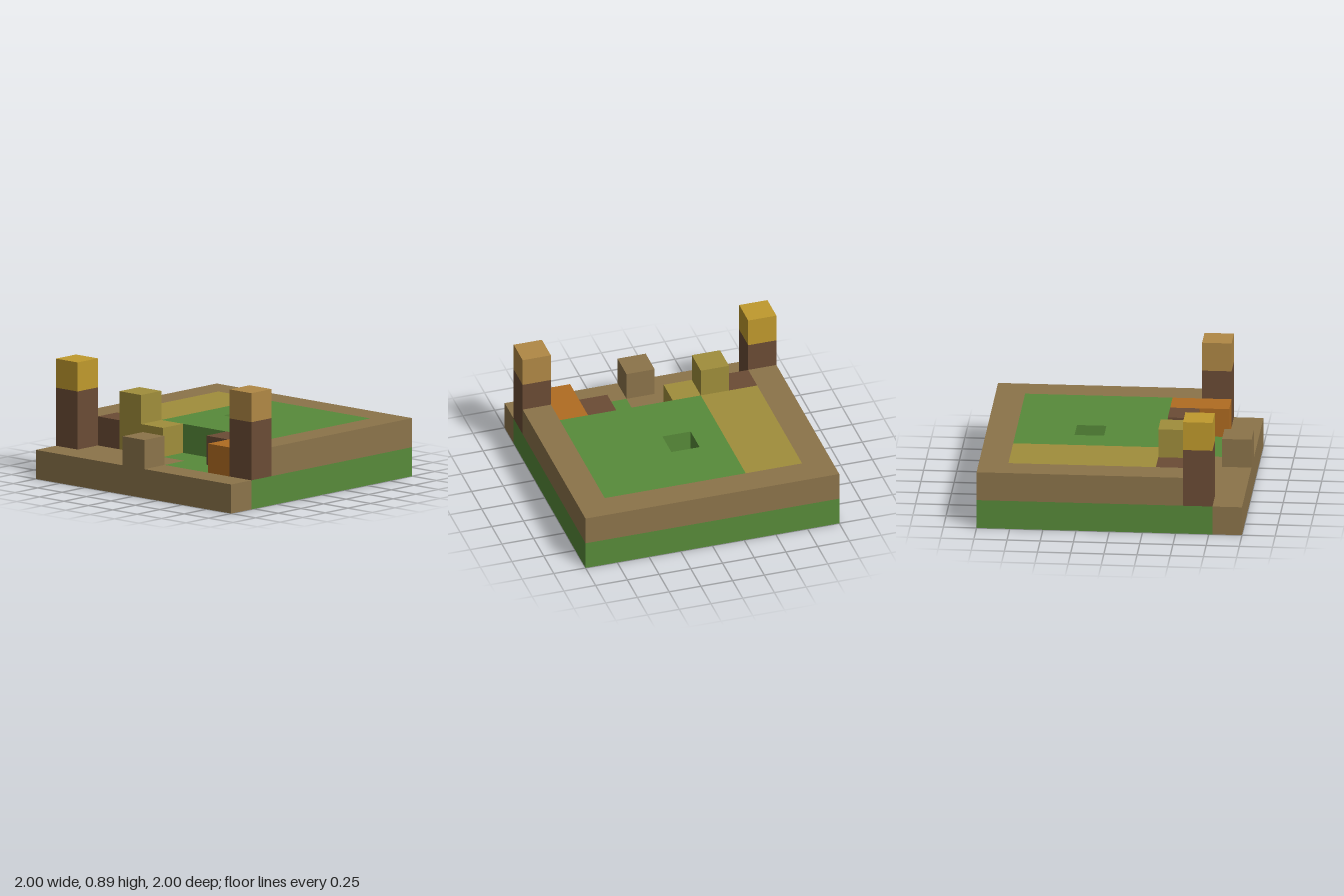
import * as THREE from 'three';

// One block is a ninth of the two-unit footprint.
const B = 2 / 9;

function material(name, color) {
  const m = new THREE.MeshStandardMaterial({ color });
  m.name = name;
  return m;
}

export function createModel() {
  const group = new THREE.Group();
  group.name = 'blockGarden';

  const earth = material('earth brown', 0x8c744a);
  const grass = material('grass green', 0x588b3a);
  const wood = material('dark wood', 0x6b4c35);
  const straw = material('straw olive', 0xa08e3b);
  const gold = material('gold', 0xc09a2d);
  const tan = material('tan', 0xb08845);
  const orange = material('orange', 0xb06c21);
  const water = material('water blue', 0x3457b5);

  // Prism over a floor outline given in block corners [column, row], rows running to the front.
  const vectors = (points) => points.map(([i, k]) => new THREE.Vector2(i * B - 1, k * B - 1));
  function slab(name, mat, layer, outline, hole, layers = 1) {
    const shape = new THREE.Shape(vectors(outline));
    if (hole) shape.holes.push(new THREE.Path(vectors(hole)));
    const geo = new THREE.ExtrudeGeometry(shape, { depth: layers * B, bevelEnabled: false });
    geo.rotateX(Math.PI / 2);
    geo.translate(0, (layer + layers) * B, 0);
    const mesh = new THREE.Mesh(geo, mat);
    mesh.name = name;
    group.add(mesh);
  }

  const rect = (i0, k0, i1, k1) => [[i0, k0], [i1, k0], [i1, k1], [i0, k1]];

  // Box filling w columns, h layers and d rows from a starting block.
  function block(name, mat, i, layer, k, w = 1, h = 1, d = 1) {
    const mesh = new THREE.Mesh(new THREE.BoxGeometry(w * B, h * B, d * B), mat);
    mesh.name = name;
    mesh.position.set((i + w / 2) * B - 1, (layer + h / 2) * B, (k + d / 2) * B - 1);
    group.add(mesh);
  }

  const pond = rect(4, 3, 5, 4);

  // Bottom layer
  slab('grassBase', grass, 0, [
    [0, 0], [9, 0], [9, 8], [5, 8], [5, 7], [4, 7],
    [4, 6], [8, 6], [8, 1], [1, 1], [1, 8], [0, 8],
  ]);
  slab('frontPath', earth, 0, [
    [0, 8], [1, 8], [1, 6], [4, 6], [4, 7],
    [5, 7], [5, 8], [9, 8], [9, 9], [0, 9],
  ]);
  slab('woodFloor', wood, 0, rect(1, 1, 8, 6), pond);
  block('pondWater', water, 4, 0, 3);

  // Raised terrace
  slab('terraceRim', earth, 1, [[0, 0], [9, 0], [9, 7], [8, 7], [8, 1], [1, 1], [1, 7], [0, 7]]);
  slab('lawn', grass, 1, rect(3, 1, 8, 6), pond);
  block('strawField', straw, 1, 1, 1, 2, 1, 5);

  // Blocks along the terrace front
  block('rightWoodBlock', wood, 1, 1, 6);
  block('strawStack', straw, 2, 1, 6, 1, 2, 1);
  block('strawStep', straw, 3, 1, 6);
  block('leftWoodBlock', wood, 6, 1, 6);
  block('orangeBench', orange, 7, 1, 6, 1, 1, 2);
  block('frontStone', earth, 4, 1, 8);

  // Corner posts with caps
  for (const [side, column, capMaterial] of [['right', 0, gold], ['left', 8, tan]]) {
    block(side + 'Post', wood, column, 1, 7, 1, 2, 1);
    block(side + 'PostCap', capMaterial, column, 3, 7);
  }

  return group;
}
